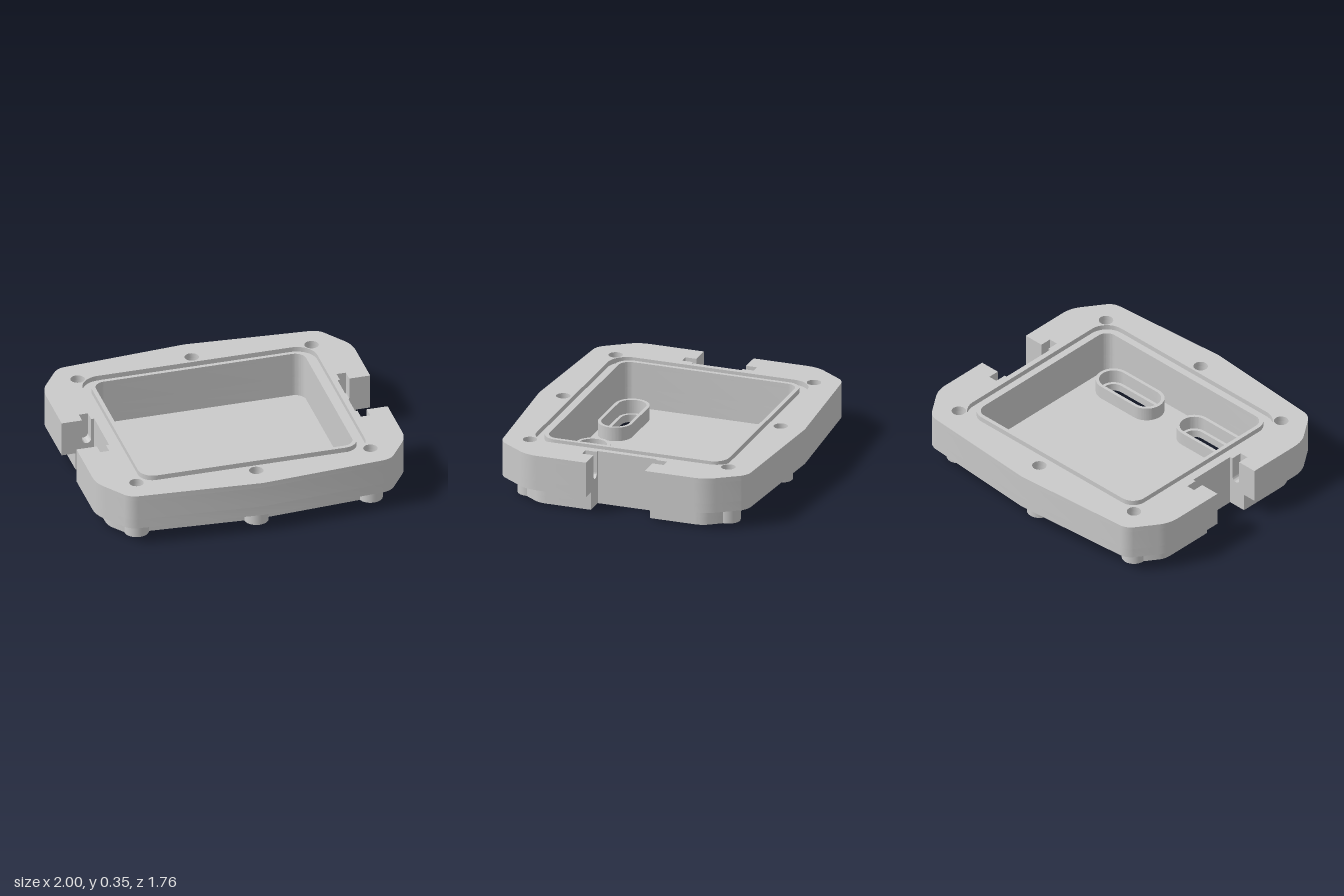
import * as THREE from 'three';
import { toCreasedNormals } from 'three/addons/utils/BufferGeometryUtils.js';

const grey = new THREE.MeshStandardMaterial({ color: 0xcacaca });
grey.name = 'grey';

// Plan outlines are drawn with shape x = world x and shape y = world z
function roundedRect(target, hx, hz, r, cx = 0, cz = 0) {
  target.absarc(cx + hx - r, cz + hz - r, r, 0, Math.PI / 2);
  target.absarc(cx - hx + r, cz + hz - r, r, Math.PI / 2, Math.PI);
  target.absarc(cx - hx + r, cz - hz + r, r, Math.PI, Math.PI * 1.5);
  target.absarc(cx + hx - r, cz - hz + r, r, Math.PI * 1.5, Math.PI * 2);
  target.closePath();
  return target;
}

const SLOT_X = 0.79;
const slots = {
  left: { half: 0.195, notch: 0.27, x0: 0.805, x1: 0.865 },
  right: { half: 0.165, notch: 0.238, x0: 0.81, x1: 0.868 },
};

// Quarter edge from the centre point (0, peak) to the side wall
const flangeEdge = { peak: 0.88, a: [0.79, 0.821], c1: [0.838, 0.817], b: [0.868, 0.78], d: [0.957, 0.653], c2: [1, 0.595], e: [1, 0.52] };
const bodyEdge = { peak: 0.725, a: [0.77, 0.672], c1: [0.815, 0.668], b: [0.838, 0.642], d: [0.885, 0.575], c2: [0.91, 0.542], e: [0.91, 0.49] };

// Symmetric outline with the two side slots, optionally with key notches
function outline(edge, notched) {
  const quarter = new THREE.Path();
  quarter.moveTo(0, edge.peak);
  quarter.lineTo(...edge.a);
  quarter.quadraticCurveTo(...edge.c1, ...edge.b);
  quarter.lineTo(...edge.d);
  quarter.quadraticCurveTo(...edge.c2, ...edge.e);
  const corner = quarter.getPoints(10).map((p) => [p.x, p.y]);

  // Half of a slot, from the outer wall towards z = 0
  const halfSlot = (s) => {
    const pts = [[edge.e[0], s.half]];
    if (notched) pts.push([s.x1, s.half], [s.x1, s.notch], [s.x0, s.notch], [s.x0, s.half]);
    pts.push([SLOT_X, s.half]);
    return pts;
  };
  const left = [...corner, ...halfSlot(slots.left)];
  const right = [...corner, ...halfSlot(slots.right)];
  const flip = (pts, sx, sz) => pts.map(([x, z]) => new THREE.Vector2(x * sx, z * sz));
  return new THREE.Shape([
    ...flip(left, 1, 1),
    ...flip(left, 1, -1).reverse(),
    ...flip(right, -1, -1).slice(1),
    ...flip(right, -1, 1).reverse().slice(0, -1),
  ]);
}

const screws = [-1, 1].flatMap((s) => [[-0.755, s * 0.657], [0, s * 0.72], [0.755, s * 0.657]]);
const vents = [-0.3475, 0.3475];
const VENT_Z = 0.45;
const FLOOR = 0.05;

const cavity = () => roundedRect(new THREE.Path(), 0.678, 0.582, 0.07);
const ventHole = (x, grow = 0) => roundedRect(new THREE.Path(), 0.2125 + grow, 0.07 + grow, 0.0699 + grow, x, VENT_Z);
const screwHoles = () => screws.map(([x, z]) => new THREE.Path().absarc(x, z, 0.045, 0, Math.PI * 2));

export function createModel() {
  const model = new THREE.Group();
  model.name = 'enclosureHalf';

  const add = (name, geometry) => {
    const mesh = new THREE.Mesh(geometry, grey);
    mesh.name = name;
    model.add(mesh);
    return mesh;
  };
  // Horizontal slab between two heights
  const slab = (name, shape, holes, y0, y1) => {
    shape.holes.push(...holes);
    const g = new THREE.ExtrudeGeometry(shape, { depth: y1 - y0, bevelEnabled: false, curveSegments: 12 });
    g.rotateX(Math.PI / 2).translate(0, y1, 0);
    return add(name, toCreasedNormals(g, 0.5));
  };

  // Lower body: floor with vents, then the start of the walls
  slab('floor', outline(bodyEdge, false), vents.map((x) => ventHole(x)), 0, FLOOR);
  slab('lowerWall', outline(bodyEdge, false), [cavity()], FLOOR, 0.118);

  // Screw bosses under the flange
  for (const [x, z] of screws) {
    add('screwBoss', new THREE.CylinderGeometry(0.077, 0.077, 0.118, 32)).position.set(x, 0.059, z);
  }

  // Flange: solid, notched and grooved layers
  slab('flangeBottom', outline(flangeEdge, false), [cavity(), ...screwHoles()], 0.118, 0.18);
  slab('flangeMiddle', outline(flangeEdge, true), [cavity(), ...screwHoles()], 0.18, 0.315);
  const groove = roundedRect(new THREE.Path(), 0.755, 0.66, 0.13);
  slab('flangeTop', outline(flangeEdge, true), [groove, ...screwHoles()], 0.315, 0.348);

  // Sealing lip around the cavity
  slab('sealingLip', roundedRect(new THREE.Shape(), 0.704, 0.608, 0.096), [cavity()], 0.315, 0.348);

  // Raised vent collars, set back from the floor openings to leave a ledge
  for (const x of vents) {
    const collar = roundedRect(new THREE.Shape(), 0.2535, 0.111, 0.1109, x, VENT_Z);
    slab('ventCollar', collar, [ventHole(x, 0.02)], FLOOR, 0.14);
  }

  // Rounded bottoms of the key notches
  for (const [side, s] of [[1, slots.left], [-1, slots.right]]) {
    const r = (s.x1 - s.x0) / 2;
    const fill = new THREE.Shape();
    fill.moveTo(-r, 0);
    fill.lineTo(r, 0);
    fill.lineTo(r, r);
    fill.absarc(0, r, r, 0, Math.PI, true);
    fill.closePath();
    for (const end of [1, -1]) {
      const g = new THREE.ExtrudeGeometry(fill, { depth: s.notch - s.half, bevelEnabled: false });
      const mesh = add('notchBottom', toCreasedNormals(g, 0.5));
      mesh.position.set((side * (s.x0 + s.x1)) / 2, 0.18, end > 0 ? s.half : -s.notch);
    }
  }
  return model;
}
